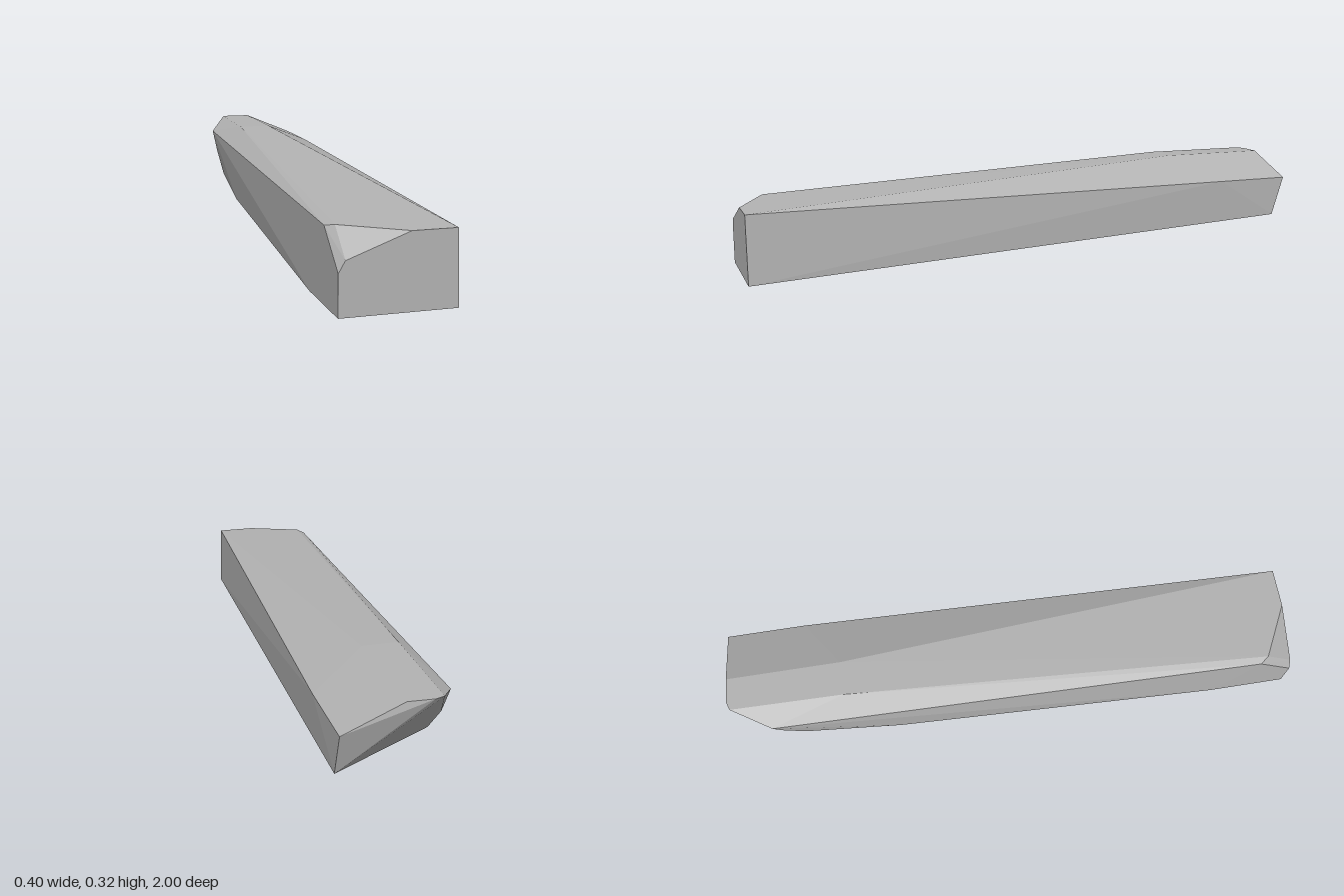
import * as THREE from 'three';
import { ConvexGeometry } from 'three/addons/geometries/ConvexGeometry.js';

export function createModel() {
  const group = new THREE.Group();
  group.name = 'hewnBeam';
  const stone = new THREE.MeshStandardMaterial({ color: 0xb2b2b2 });
  stone.name = 'grey stone';

  // Flat front end
  const frontEnd = [
    [-0.2, 0, 1], [0.155, 0, 1], [0.147, 0.23, 1],
    [0.01, 0.23, 1], [-0.18, 0.16, 1], [-0.2, 0.125, 1],
  ];
  // Chipped corner behind the front end, and the start of the rising underside
  const frontChip = [[-0.2, 0.23, 0.87], [-0.178, 0.237, 0.9], [-0.2, 0, 0.73]];
  // Raised top and upper side edges
  const top = [
    [-0.107, 0.32, -0.6], [0.012, 0.32, -0.6],
    [-0.1, 0.32, -0.99], [-0.07, 0.32, -1], [0.012, 0.32, -0.995],
    [-0.175, 0.272, -0.86], [0.202, 0.24, -0.72],
  ];
  // Angled back end and tapered underside
  const backEnd = [
    [0.202, 0.24, -0.995], [0.202, 0.1, -0.95], [0.02, 0.045, -0.7],
    [-0.15, 0.1, -0.76], [-0.162, 0.187, -0.83], [-0.165, 0.05, -0.435],
  ];

  const points = [...frontEnd, ...frontChip, ...top, ...backEnd]
    .map((p) => new THREE.Vector3(...p));
  const beam = new THREE.Mesh(new ConvexGeometry(points), stone);
  beam.name = 'beam';
  group.add(beam);
  return group;
}
